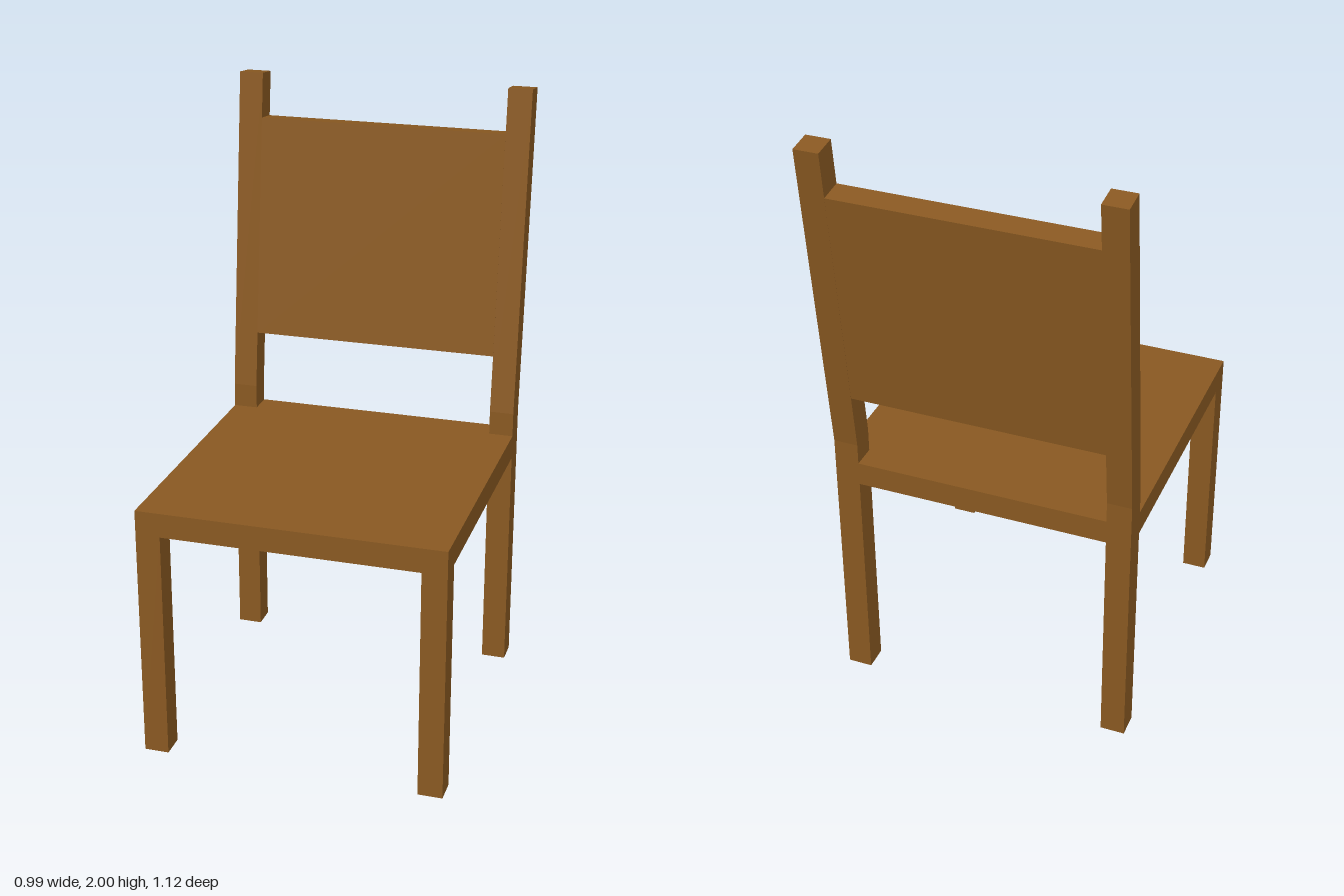
import * as THREE from 'three';

const HALF_W = 0.495, POST = 0.08;
const SEAT_BOTTOM = 0.77, SEAT_TOP = 0.85;
const FRONT = 0.56, POST_FRONT = -0.355, POST_BACK = -0.435;

export function createModel() {
  const chair = new THREE.Group();
  chair.name = 'chair';
  const wood = new THREE.MeshStandardMaterial({ color: 0x8b5a22 });
  wood.name = 'brown wood';

  function add(name, geometry) {
    const mesh = new THREE.Mesh(geometry, wood);
    mesh.name = name;
    chair.add(mesh);
  }

  // Box given by its limits
  function block(name, x0, x1, y0, y1, z0, z1) {
    const g = new THREE.BoxGeometry(x1 - x0, y1 - y0, z1 - z0);
    g.translate((x0 + x1) / 2, (y0 + y1) / 2, (z0 + z1) / 2);
    add(name, g);
  }

  // Side profile of [z, y] points, extruded across x and centred on xMid
  function profile(name, points, width, xMid) {
    const shape = new THREE.Shape(points.map(([z, y]) => new THREE.Vector2(z, y)));
    const g = new THREE.ExtrudeGeometry(shape, { depth: width, bevelEnabled: false });
    g.translate(0, 0, -width / 2).rotateY(-Math.PI / 2).translate(xMid, 0, 0);
    add(name, g);
  }

  // Seat slab, with a rail filling the gap between the back posts
  const inner = HALF_W - POST;
  block('seat', -HALF_W, HALF_W, SEAT_BOTTOM, SEAT_TOP, POST_FRONT, FRONT);
  block('rearRail', -inner, inner, SEAT_BOTTOM, SEAT_TOP, POST_BACK, POST_FRONT);

  // Front legs, and back posts that lean backwards above the seat
  for (const [side, s] of [['left', 1], ['right', -1]]) {
    const x = s * (HALF_W - POST / 2);
    block(`${side}FrontLeg`, x - POST / 2, x + POST / 2, 0, SEAT_BOTTOM, FRONT - POST, FRONT);
    profile(`${side}BackPost`, [
      [POST_FRONT, 0], [POST_FRONT, 0.93], [-0.477, 2],
      [-0.557, 1.991], [POST_BACK, 0.92], [POST_BACK, 0],
    ], POST, x);
  }

  // Leaning back panel, flush with the posts
  profile('backPanel', [
    [-0.376, 1.12], [-0.46, 1.853], [-0.54, 1.844], [-0.456, 1.111],
  ], inner * 2, 0);

  return chair;
}
